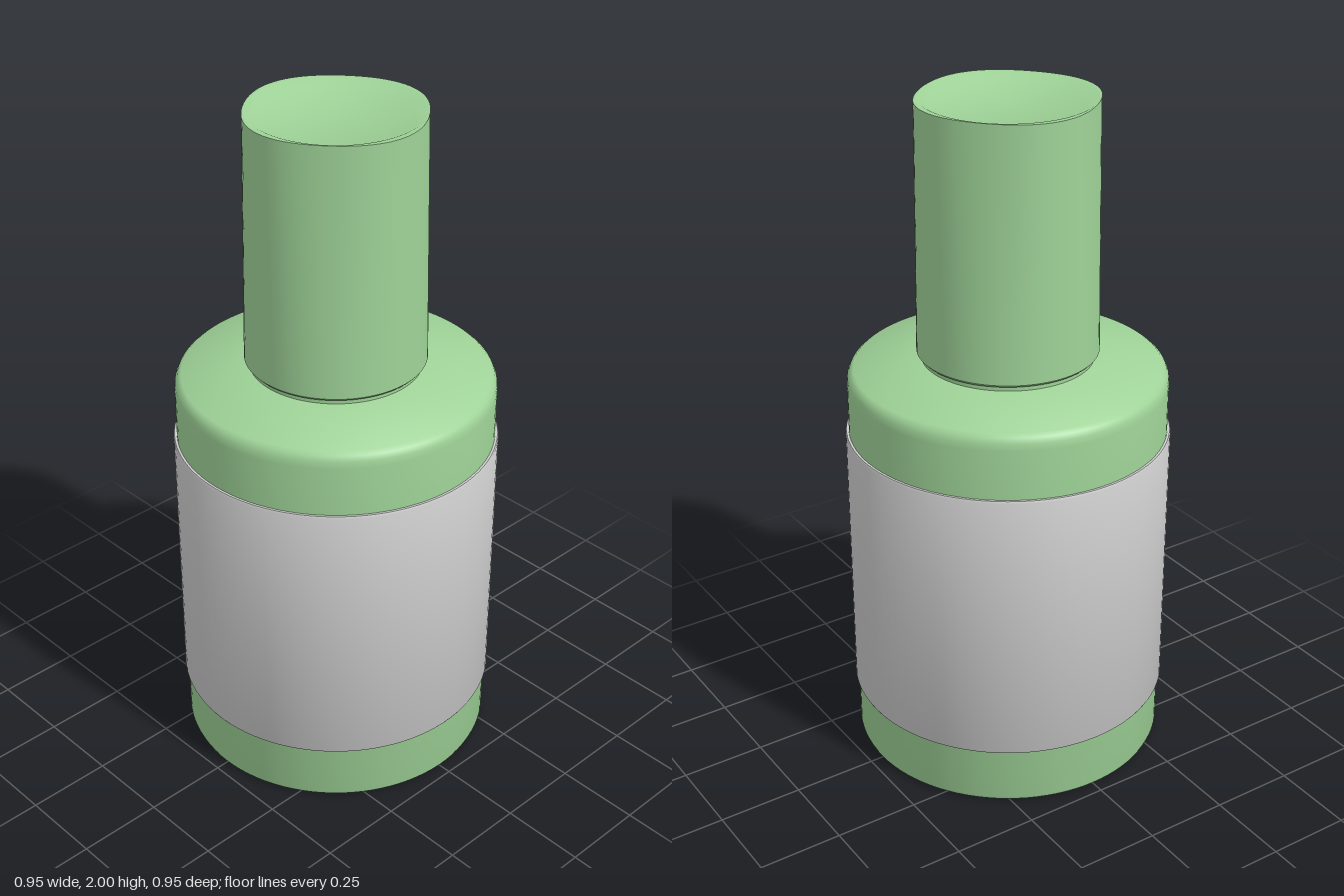
import * as THREE from 'three';
import { toCreasedNormals } from 'three/addons/utils/BufferGeometryUtils.js';

const green = new THREE.MeshStandardMaterial({ color: 0x9fd398 });
const grey = new THREE.MeshStandardMaterial({ color: 0xcccccc });

// Revolve [radius, y] points listed from the underside, up the outside, to the top
function lathe(name, points, material, reshape) {
  const geometry = new THREE.LatheGeometry(points.map(([r, y]) => new THREE.Vector2(r, y)), 96);
  if (reshape) reshape(geometry.attributes.position);
  const mesh = new THREE.Mesh(toCreasedNormals(geometry, 0.6), material);
  mesh.name = name;
  return mesh;
}

// Shave four shallow facets into the cap, deepening towards the top
function shaveCap(pos) {
  const bottom = 1.26, top = 2, depth = 0.013;
  for (let i = 0; i < pos.count; i++) {
    const x = pos.getX(i), z = pos.getZ(i), r = Math.hypot(x, z);
    if (r < 0.255) continue;
    const angle = Math.atan2(-z, x) - THREE.MathUtils.degToRad(40);
    const facet = 0.5 + 0.5 * Math.cos(4 * angle);
    const height = (pos.getY(i) - bottom) / (top - bottom);
    const k = 1 - (depth * facet * height) / r;
    pos.setX(i, x * k);
    pos.setZ(i, z * k);
  }
}

export function createModel() {
  const model = new THREE.Group();
  model.name = 'bottle';

  // Body with recessed base, rounded shoulder and short neck
  model.add(lathe('body', [
    [0, 0.04], [0.37, 0.04], [0.37, 0], [0.453, 0], [0.461, 0.004], [0.465, 0.014],
    [0.465, 1.165], [0.463, 1.185], [0.456, 1.2], [0.445, 1.21],
    [0.25, 1.24], [0.25, 1.27], [0, 1.27],
  ], green));

  // Label sleeve around the body
  model.add(lathe('label', [
    [0.464, 0.178], [0.472, 0.178], [0.475, 0.184],
    [0.475, 1.01], [0.472, 1.016], [0.464, 1.016],
  ], grey));

  // Tall cap with a raised rim around a slightly sunken top
  model.add(lathe('cap', [
    [0, 1.255], [0.257, 1.255], [0.263, 1.262], [0.263, 1.5], [0.263, 1.75], [0.263, 2],
    [0.245, 2], [0.212, 1.985], [0, 1.985],
  ], green, shaveCap));

  return model;
}
